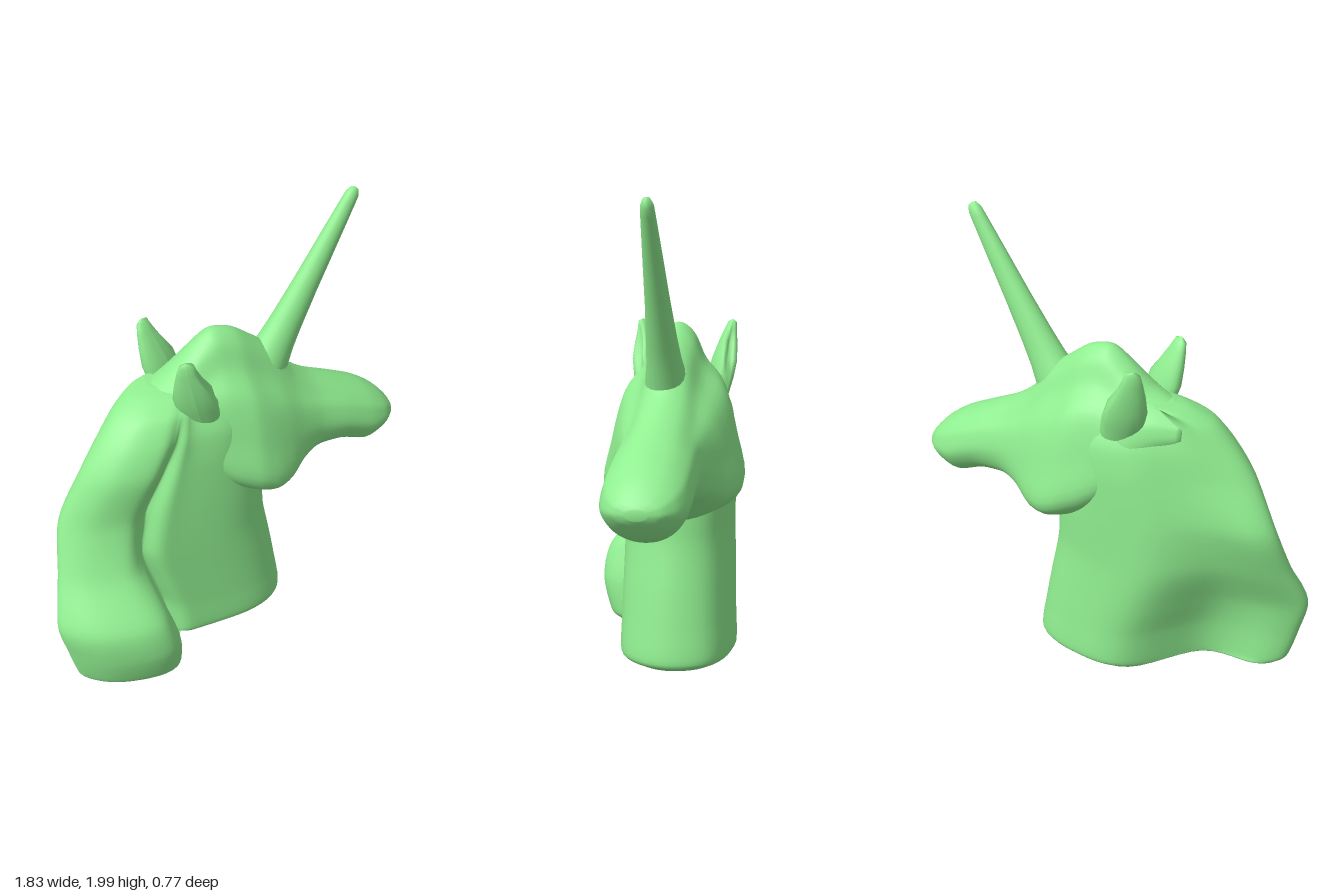
import * as THREE from 'three';

const material = new THREE.MeshStandardMaterial({ color: 0x90ee90, side: THREE.DoubleSide });
const MID = -0.08; // z of the head's plane of symmetry
const V = (x, y, z) => new THREE.Vector3(x, y, z);

// Smooth closed skin through a list of control rings, capped at both ends
function loft(controlRings, around, along) {
  const rings = controlRings.map(r => new THREE.CatmullRomCurve3(r, true, 'catmullrom', 0.5).getPoints(around).slice(0, around));
  const columns = rings[0].map((_, j) =>
    new THREE.CatmullRomCurve3(rings.map(r => r[j]), false, 'catmullrom', 0.4).getPoints(along));
  const pos = [], index = [];
  for (let i = 0; i <= along; i++) for (const c of columns) pos.push(c[i].x, c[i].y, c[i].z);
  for (let i = 0; i < along; i++) for (let j = 0; j < around; j++) {
    const k = (j + 1) % around, a = i * around + j, b = i * around + k;
    index.push(a, b, a + around, b, b + around, a + around);
  }
  for (const end of [0, along]) {
    const centre = V(0, 0, 0);
    columns.forEach(c => centre.addScaledVector(c[end], 1 / around));
    const n = pos.length / 3;
    pos.push(centre.x, centre.y, centre.z);
    for (let j = 0; j < around; j++) {
      const a = end * around + j, b = end * around + (j + 1) % around;
      index.push(...(end ? [a, b, n] : [b, a, n]));
    }
  }
  // Turn the faces outward if the enclosed volume is negative
  const p = i => V(pos[3 * i], pos[3 * i + 1], pos[3 * i + 2]);
  let volume = 0;
  for (let i = 0; i < index.length; i += 3) volume += p(index[i]).dot(p(index[i + 1]).cross(p(index[i + 2])));
  if (volume < 0) index.reverse();
  const g = new THREE.BufferGeometry();
  g.setAttribute('position', new THREE.Float32BufferAttribute(pos, 3));
  g.setIndex(index);
  g.computeVertexNormals();
  return g;
}

// Plan outline of neck and mane: front, groove and back x; side z's; mane z; back z; groove depth
function neckRing([y, xf, xg, xb, z0, z1, zm, zb, groove]) {
  const w = xg - xb, n = xf - xg, valley = 0.3 + 0.25 * y;
  return [
    [xf, MID], [xf - 0.1 * n, z1 - 0.075], [xf - 0.35 * n, z1], [xg + 0.22 * n, z1 - 0.01],
    [xg + 0.08 * n, z1 - 0.3 * groove], [xg, z1 - groove],
    [xg - 0.07 * w, zm - 0.6 * groove], [xg - 0.3 * w, zm], [xb + 0.25 * w, zm - 0.33 * (zm - zb)],
    [xb, zb], [xb + 0.18 * w, zb - 0.09], [xg - 0.25 * w, zb + (z0 - zb) * valley],
    [xg + 0.2 * n, z0 + 0.03], [xf - 0.4 * n, z0], [xf - 0.1 * n, z0 + 0.075],
  ].map(([x, z]) => V(x, y, z));
}

// Head section at one x; jowl 1 = wide jaw, sloped brow and narrow crown, 0 = round
function headRing([x, bottom, top, half, jowl]) {
  const side = [[0.04, 0.5, 0.4], [0.17, 0.97, 0.75], [0.42, 0.88, 1], [0.66, 0.71, 0.94], [0.8, 0.42, 0.8], [0.94, 0.24, 0.47]]
    .map(([t, pear, round]) => [bottom + t * (top - bottom), half * (round + (pear - round) * jowl)]);
  return [
    V(x, bottom, MID), ...side.map(([y, w]) => V(x, y, MID + w)),
    V(x, top, MID), ...side.reverse().map(([y, w]) => V(x, y, MID - w)),
  ];
}

export function createModel() {
  const model = new THREE.Group();
  const add = (name, geometry) => {
    const mesh = new THREE.Mesh(geometry, material);
    mesh.name = name;
    model.add(mesh);
    return mesh;
  };

  // Neck with the mane swept to its left side
  add('neckAndMane', loft([
    [0.008, 0.26, -0.37, -0.81, -0.30, 0.13, 0.30, 0.14, 0.10],
    [0.045, 0.295, -0.36, -0.85, -0.33, 0.165, 0.34, 0.15, 0.11],
    [0.2, 0.27, -0.38, -0.89, -0.325, 0.165, 0.38, 0.16, 0.11],
    [0.36, 0.24, -0.43, -0.92, -0.32, 0.165, 0.355, 0.15, 0.10],
    [0.56, 0.20, -0.48, -0.865, -0.315, 0.165, 0.20, 0.06, 0.09],
    [0.78, 0.18, -0.44, -0.81, -0.32, 0.165, 0.13, -0.02, 0.07],
    [1.0, 0.12, -0.36, -0.70, -0.32, 0.16, 0.16, -0.01, 0.05],
    [1.13, 0.10, -0.31, -0.61, -0.305, 0.145, 0.145, -0.02, 0.02],
    [1.23, 0.05, -0.27, -0.52, -0.255, 0.10, 0.10, -0.04, 0],
    [1.285, 0.0, -0.22, -0.42, -0.18, 0.03, 0.03, -0.07, 0],
    [1.305, -0.1, -0.2, -0.33, -0.13, -0.03, -0.03, -0.08, 0],
  ].map(neckRing), 90, 60));

  // Head from poll to nose
  add('head', loft([
    [-0.42, 1.12, 1.26, 0.08, 0],
    [-0.32, 1.06, 1.305, 0.14, 0.2],
    [-0.23, 0.95, 1.35, 0.20, 0.4],
    [-0.13, 0.82, 1.44, 0.245, 0.85],
    [-0.04, 0.74, 1.50, 0.28, 1],
    [0.06, 0.69, 1.48, 0.31, 1],
    [0.15, 0.66, 1.42, 0.305, 1],
    [0.24, 0.67, 1.35, 0.275, 0.9],
    [0.34, 0.73, 1.23, 0.225, 0.6],
    [0.45, 0.76, 1.15, 0.187, 0.3],
    [0.6, 0.75, 1.08, 0.18, 0.1],
    [0.74, 0.70, 1.015, 0.175, 0],
    [0.83, 0.735, 0.955, 0.15, 0],
    [0.89, 0.79, 0.895, 0.10, 0],
    [0.912, 0.82, 0.86, 0.04, 0],
  ].map(headRing), 70, 60));

  // Horn, sunk into the forehead and rounded at the tip
  const hornProfile = [[0.125, -0.12], [0.105, 0], [0.086, 0.1], [0.075, 0.2], [0.06, 0.38],
    [0.047, 0.58], [0.034, 0.77], [0.031, 0.805], [0.018, 0.832], [0, 0.837]].map(p => new THREE.Vector2(...p));
  const horn = add('horn', new THREE.LatheGeometry(hornProfile, 20));
  horn.scale.z = 0.85;
  horn.position.set(0.235, 1.27, MID + 0.01);
  horn.rotation.z = -Math.atan2(0.41, 0.71);

  // Ears: leaf-shaped, hollowed at the front
  const earProfile = [[0.08, -0.08], [0.095, 0.02], [0.095, 0.1], [0.072, 0.18], [0.05, 0.24],
    [0.032, 0.28], [0, 0.295]].map(p => new THREE.Vector2(...p));
  for (const side of [1, -1]) {
    const g = new THREE.LatheGeometry(earProfile, 20);
    const p = g.attributes.position;
    for (let i = 0; i < p.count; i++) {
      const x = p.getX(i), y = p.getY(i), z = p.getZ(i);
      const rise = Math.sin(Math.PI * THREE.MathUtils.clamp(y / 0.27, 0, 1));
      const hollow = x > 0 ? Math.max(0, 1 - Math.abs(z) / 0.06) * 0.05 * rise : 0;
      p.setXYZ(i, x - hollow, y, z * 0.55);
    }
    g.computeVertexNormals();
    const ear = add(side > 0 ? 'leftEar' : 'rightEar', g);
    ear.position.set(-0.18, 1.225, MID + side * 0.16);
    ear.rotation.set(side * 0.3, -side * 0.4, 0.32);
  }
  return model;
}
